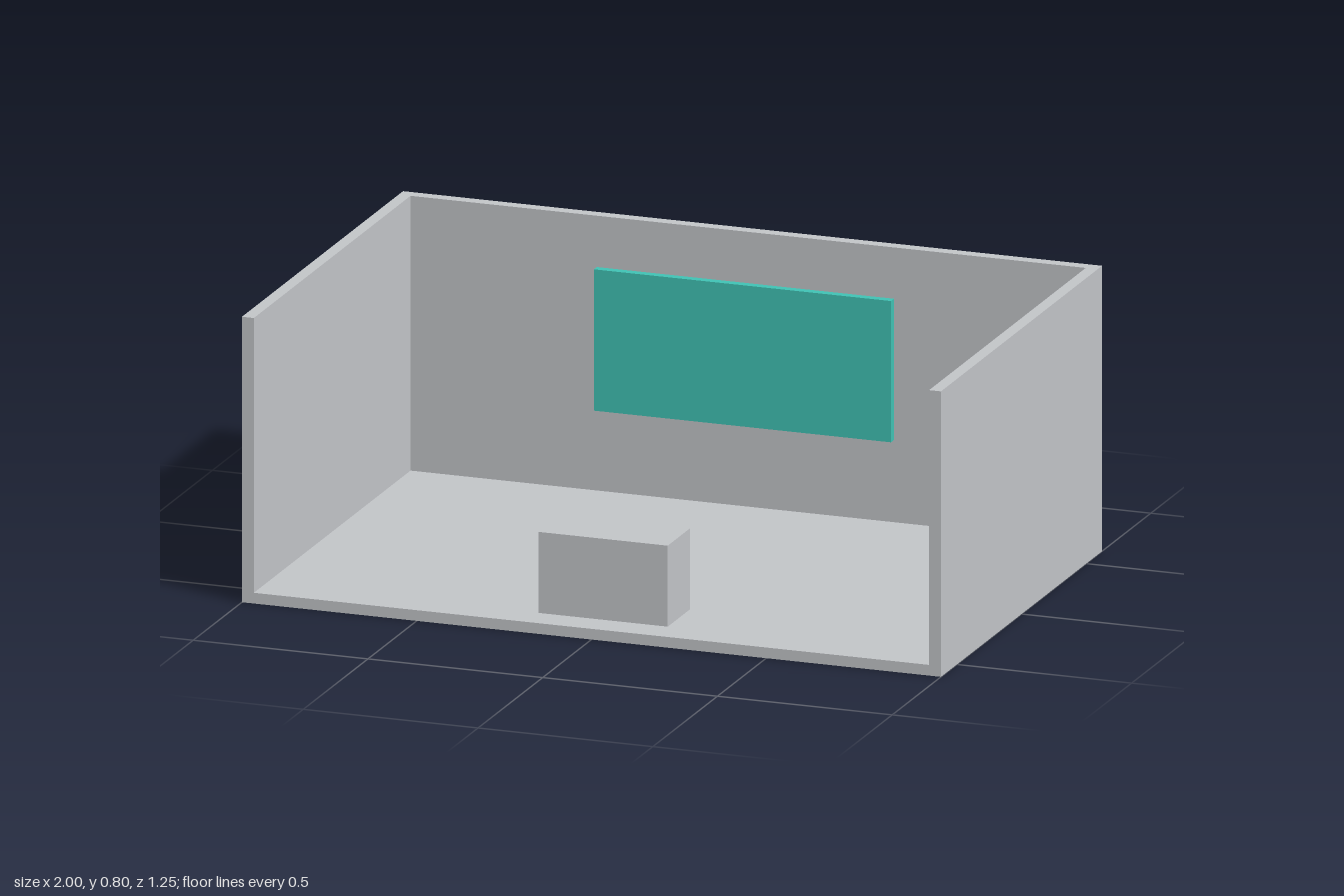
import * as THREE from 'three';

export function createModel() {
  const model = new THREE.Group();
  const wallGrey = new THREE.MeshStandardMaterial({ color: 0xc2c5c8 });
  wallGrey.name = 'wallGrey';
  const screenTeal = new THREE.MeshStandardMaterial({ color: 0x40c2b4 });
  screenTeal.name = 'screenTeal';

  // Adds a box spanning the given minimum and maximum corners
  function addBox(name, material, [x0, y0, z0], [x1, y1, z1]) {
    const mesh = new THREE.Mesh(new THREE.BoxGeometry(x1 - x0, y1 - y0, z1 - z0), material);
    mesh.position.set((x0 + x1) / 2, (y0 + y1) / 2, (z0 + z1) / 2);
    mesh.name = name;
    model.add(mesh);
  }

  const W = 1, D = 0.623, H = 0.8; // half width, half depth, height
  const T = 0.034, F = 0.03; // wall and floor thickness

  // Open-fronted room
  addBox('floor', wallGrey, [-W, 0, -D], [W, F, D]);
  addBox('backWall', wallGrey, [-W, F, -D], [W, H, -D + T]);
  addBox('leftWall', wallGrey, [W - T, F, -D + T], [W, H, D]);
  addBox('rightWall', wallGrey, [-W, F, -D + T], [-W + T, H, D]);

  // Screen on its slightly smaller mounting panel
  addBox('screenBacking', wallGrey, [-0.407, 0.285, -0.584], [0.407, 0.645, -0.568]);
  addBox('screen', screenTeal, [-0.425, 0.267, -0.568], [0.425, 0.663, -0.545]);

  // Desk block near the open front
  addBox('desk', wallGrey, [-0.185, F, 0.36], [0.185, 0.257, 0.533]);

  return model;
}
